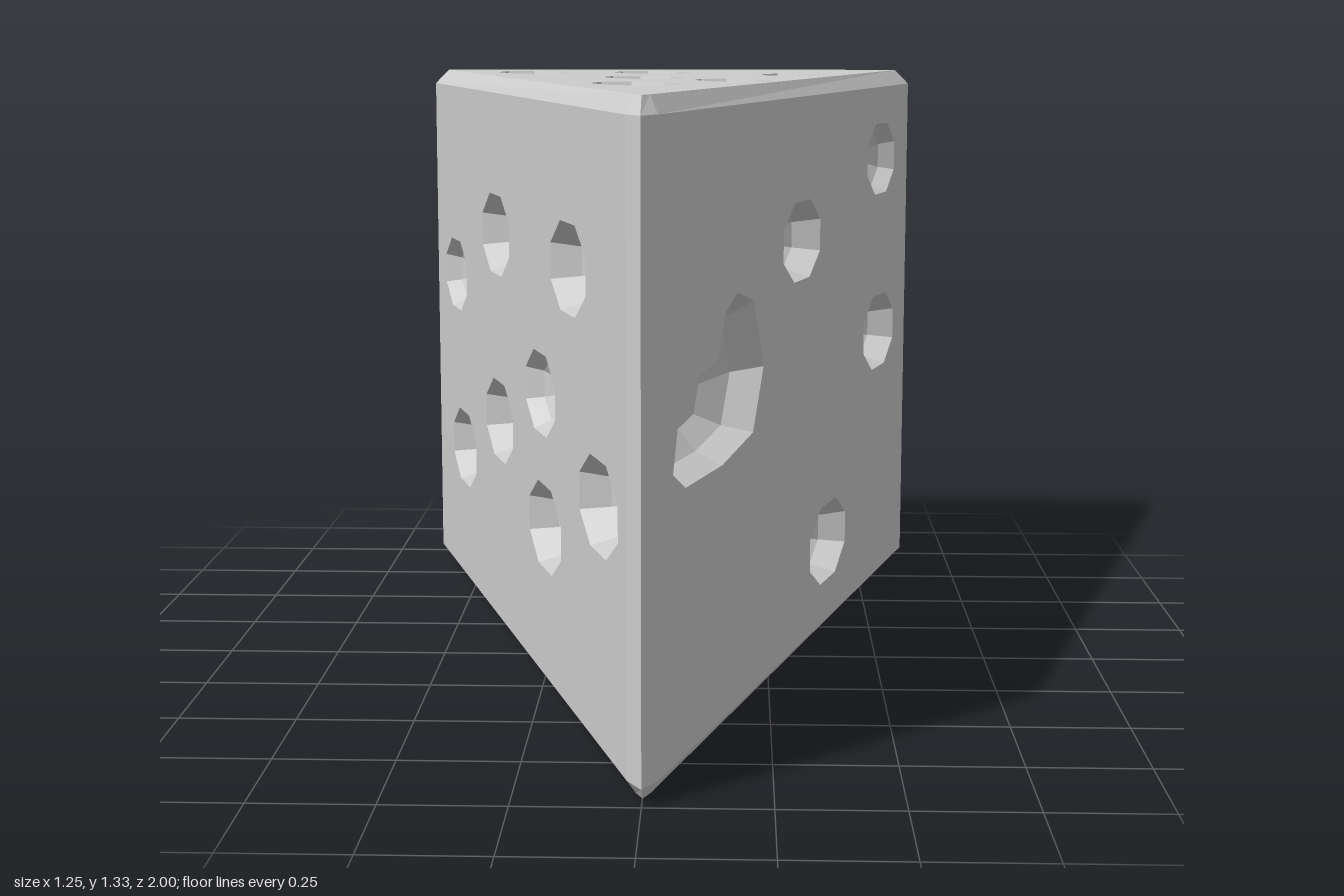
import * as THREE from 'three';

const H = 1.325, BEVEL = 0.035, SLOPE = 0.3165;
const V3 = (x, y, z) => new THREE.Vector3(x, y, z);
const V2 = (x, y) => new THREE.Vector2(x, y);
const material = new THREE.MeshStandardMaterial({ color: 0xcccccc, flatShading: true });

// Plan outlines of the wedge: at its full girth, and inside the top/bottom bevel
const plan = half => [[0, half[0]], ...half[1], ...half[1].slice().reverse().map(([x, z]) => [-x, z])];
const outer = plan([1, [[0.03, 0.95], [0.625, -0.93], [0.6, -1]]]);
const inner = plan([0.95, [[0.014, 0.92], [0.59, -0.93], [0.57, -0.965]]]);

// Outline of an eight-sided hole, optionally tilted
function oval(u, v, ru, rv, depth = 0.1, tilt = 0) {
  const pts = [];
  for (let i = 0; i < 8; i++) {
    const a = (i + 0.5) * Math.PI / 4;
    pts.push(V2(ru * 1.06 * Math.cos(a), rv * 1.06 * Math.sin(a)).rotateAround(V2(0, 0), tilt).add(V2(u, v)));
  }
  return { pts, centre: V2(u, v), depth };
}

function geometryFrom(vertices) {
  const g = new THREE.BufferGeometry().setFromPoints(vertices);
  g.computeVertexNormals();
  return g;
}

// Faceted bowl sinking from a hole outline
function bowl({ pts, centre, depth }) {
  const rings = [[1, 0], [0.8, 0.6], [0.45, 1]].map(([k, d]) =>
    pts.map(p => V3(centre.x + (p.x - centre.x) * k, centre.y + (p.y - centre.y) * k, -d * depth)));
  const out = [], n = pts.length;
  for (let i = 0; i < n; i++) {
    const j = (i + 1) % n;
    for (let r = 0; r < 2; r++) {
      const [a, b] = [rings[r], rings[r + 1]];
      out.push(a[i], a[j], b[j], a[i], b[j], b[i]);
    }
    out.push(rings[2][i], rings[2][j], V3(centre.x, centre.y, -depth));
  }
  return geometryFrom(out.map(p => p.clone()));
}

// Flat face with holes cut out and bowls set into them
function panel(name, outline, dents, origin, U, V) {
  const group = new THREE.Group();
  group.name = name;
  const matrix = new THREE.Matrix4().makeBasis(U, V, U.clone().cross(V).normalize()).setPosition(origin);
  const shape = new THREE.Shape(outline.map(([u, v]) => V2(u, v)));
  const add = (geometry, label) => {
    const mesh = new THREE.Mesh(geometry.applyMatrix4(matrix), material);
    mesh.name = label;
    group.add(mesh);
  };
  for (const dent of dents) {
    if (THREE.ShapeUtils.isClockWise(dent.pts)) dent.pts.reverse();
    shape.holes.push(new THREE.Path(dent.pts));
    add(bowl(dent), 'hole');
  }
  add(new THREE.ShapeGeometry(shape), 'surface');
  return group;
}

// Chamfers round the top, the bottom and the upright edges
function bevels() {
  const rings = [[inner, 0], [outer, BEVEL], [outer, H - BEVEL], [inner, H]]
    .map(([ring, y]) => ring.map(([x, z]) => V3(x, y, z)));
  const out = [], flatSides = [1, 3, 5];
  for (let r = 0; r < 3; r++) for (let i = 0; i < 7; i++) {
    if (r === 1 && flatSides.includes(i)) continue;
    const j = (i + 1) % 7, [a, b] = [rings[r], rings[r + 1]];
    out.push(a[i], a[j], b[j], a[i], b[j], b[i]);
  }
  const mesh = new THREE.Mesh(geometryFrom(out), material);
  mesh.name = 'bevelledEdges';
  return mesh;
}

export function createModel() {
  const model = new THREE.Group();
  model.name = 'cheeseWedge';
  const rect = (u0, u1) => [[u0, BEVEL], [u1, BEVEL], [u1, H - BEVEL], [u0, H - BEVEL]];
  const sideX = 0.03 + 0.95 * SLOPE;

  // Side at +x, u = -z: four oval holes and one double hole
  const double = {
    pts: [[0.87, 0.61], [0.83, 0.74], [0.77, 0.77], [0.61, 0.79], [0.56, 0.88], [0.49, 0.91], [0.38, 0.88],
      [0.31, 0.73], [0.38, 0.6], [0.58, 0.57], [0.8, 0.57]].map(([z, y]) => V2(-z, y)),
    centre: V2(-0.55, 0.69), depth: 0.1,
  };
  model.add(panel('leftSide', rect(-0.95, 0.93), [
    double,
    oval(-0.03, 0.97, 0.145, 0.09), oval(0.66, 0.67, 0.15, 0.095),
    oval(0.66, 1.11, 0.135, 0.09, 0.06), oval(0.21, 0.225, 0.155, 0.095),
  ], V3(sideX, 0, 0), V3(SLOPE, 0, -1), V3(0, 1, 0)));

  // Side at -x, u = z: six deep and two shallow holes
  const deep = [[-0.19, 0.96], [0.51, 0.96], [-0.17, 0.52], [0.745, 0.52], [-0.6, 0.37], [0.29, 0.37]];
  const shallow = [[-0.68, 0.81], [0.255, 0.66]];
  model.add(panel('rightSide', rect(-0.93, 0.95), [
    ...deep.map(([z, y]) => oval(z, y, 0.15, 0.095)),
    ...shallow.map(([z, y]) => oval(z, y, 0.14, 0.09, 0.06)),
  ], V3(-sideX, 0, 0), V3(SLOPE, 0, 1), V3(0, 1, 0)));

  // Back, u = -x: round holes and one broad shallow recess
  const round = [[-0.42, 1.1], [0.02, 0.8], [0.32, 0.65], [-0.27, 0.79], [0.46, 0.34], [-0.135, 0.49], [-0.42, 0.18]];
  const recess = {
    pts: [[-0.17, -0.13], [-0.12, -0.19], [0.12, -0.19], [0.17, -0.13], [0.17, 0.13], [0.12, 0.19], [-0.12, 0.19],
      [-0.17, 0.13]].map(([u, v]) => V2(u - 0.39, v + 1.02)),
    centre: V2(-0.39, 1.02), depth: 0.06,
  };
  model.add(panel('back', rect(-0.6, 0.6), [recess, ...round.map(([x, y]) => oval(-x, y, 0.095, 0.095))],
    V3(0, 0, -1), V3(-1, 0, 0), V3(0, 1, 0)));

  // Top, v = -z
  const topHoles = [[-0.335, -0.66], [-0.04, -0.66], [-0.04, -0.2], [-0.04, 0.27]];
  model.add(panel('top', inner.map(([x, z]) => [x, -z]), [
    ...topHoles.map(([x, z]) => oval(x, -z, 0.085, 0.145, 0.1, 0.35)),
    oval(0.167, -0.03, 0.075, 0.14, 0.1, 0.35), oval(0.3, 0.46, 0.065, 0.11, 0.08),
  ], V3(0, H, 0), V3(1, 0, 0), V3(0, 0, -1)));

  // Underside, v = z
  model.add(panel('bottom', inner, [
    oval(0.2, -0.69, 0.09, 0.135, 0.1, -0.35), oval(-0.1, -0.69, 0.09, 0.135, 0.1, -0.35),
    oval(0.1, -0.19, 0.08, 0.14, 0.06, -0.35), oval(-0.1, 0.27, 0.075, 0.13, 0.1, -0.35),
  ], V3(0, 0, 0), V3(1, 0, 0), V3(0, 0, 1)));

  model.add(bevels());
  return model;
}
